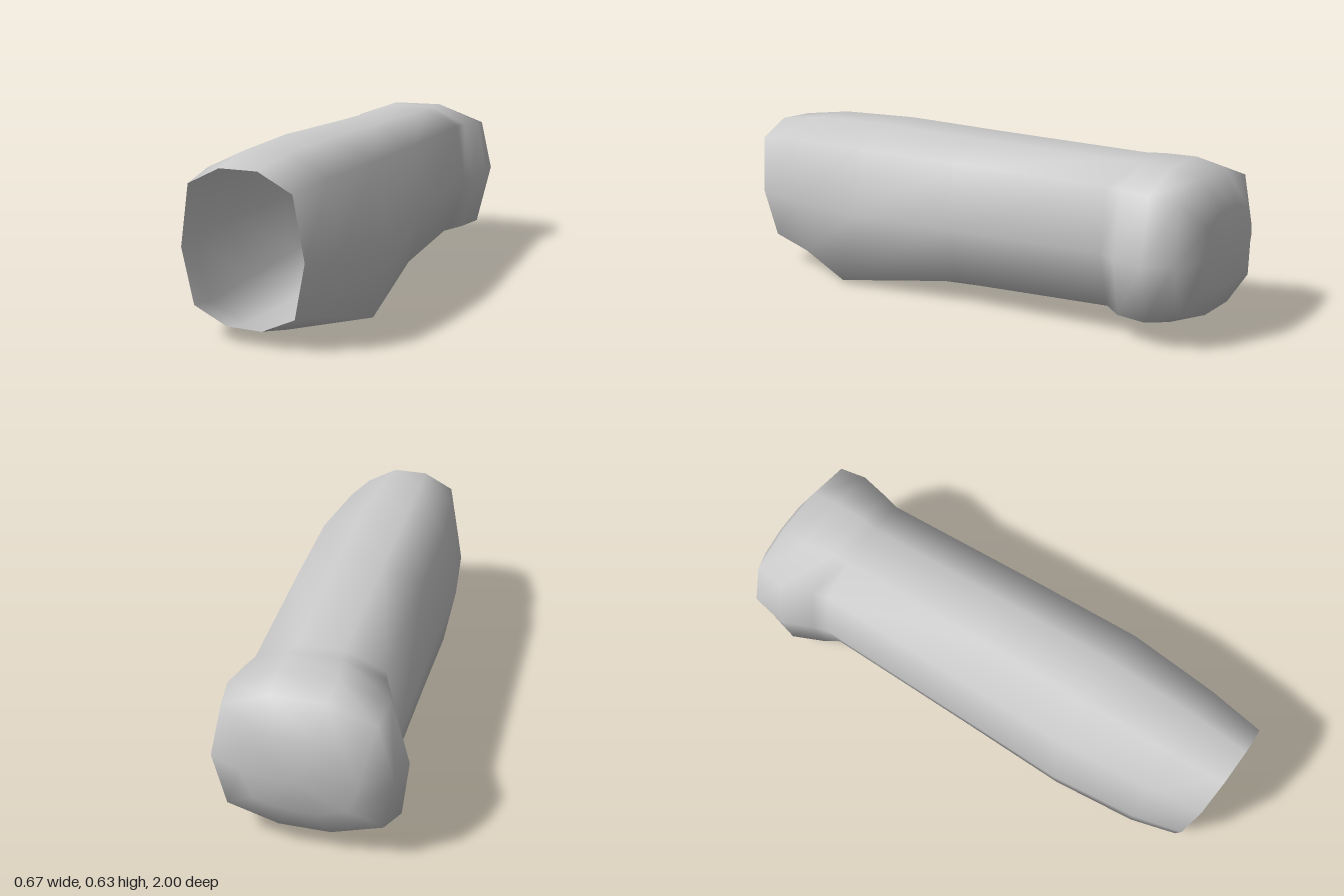
import * as THREE from 'three';

// Ten-sided cross-section, clockwise from the top left, in units of half width and half height
const PROFILE = [
  [-0.28, 1], [0.33, 1], [0.86, 0.76], [1, -0.06], [0.8, -0.79],
  [0.26, -1], [-0.32, -1], [-0.85, -0.78], [-1, -0.04], [-0.81, 0.78],
];
const LOWER_RIGHT = 4, LOWER_LEFT = 7;

// Rings from the open front to the closed back
const RINGS = [
  { z: 0.965, x: [-0.206, 0.252], y: [0.057, 0.592], tilt: [0.07, 0.09] },
  { z: 0.77, x: [-0.25, 0.288], y: [0.013, 0.618], tilt: [0.03, 0.02] },
  { z: 0.43, x: [-0.282, 0.325], y: [0, 0.626], corner: [0.305, 0.012, 0.52] },
  { z: 0, x: [-0.276, 0.312], y: [0.024, 0.615] },
  { z: -0.63, x: [-0.268, 0.285], y: [0.047, 0.602] },
  { z: -0.69, x: [-0.285, 0.302], y: [0.026, 0.607], flare: 1.06 },
  { z: -0.81, x: [-0.335, 0.333], y: [0.032, 0.604], flare: 1.09 },
  { z: -0.935, x: [-0.312, 0.318], y: [0.085, 0.578], tilt: [0.03, 0.05], flare: 1.05 },
  { z: -0.985, x: [-0.2, 0.2], y: [0.18, 0.46], tilt: [0.02, 0] },
];

function ringPoints({ z, x, y, tilt = [0, 0], flare = 1, corner }) {
  const cx = (x[0] + x[1]) / 2, cy = (y[0] + y[1]) / 2;
  const hw = (x[1] - x[0]) / 2, hh = (y[1] - y[0]) / 2;
  return PROFILE.map(([u, v], j) => {
    if (corner && j === LOWER_RIGHT) return corner;
    const f = j === LOWER_RIGHT || j === LOWER_LEFT ? flare : 1;
    const px = cx + u * hw * f, py = cy + v * hh;
    return [px, py, z + tilt[0] * (px - cx) + tilt[1] * (py - cy)];
  });
}

function loftGeometry() {
  const n = PROFILE.length;
  const positions = RINGS.flatMap(ringPoints).flat();
  const index = [];
  for (let i = 0; i < RINGS.length - 1; i++) {
    for (let j = 0; j < n; j++) {
      const k = (j + 1) % n;
      const a = i * n + j, b = i * n + k, c = a + n, d = b + n;
      index.push(a, b, c, b, d, c);
    }
  }
  // Shallow domed end
  const centre = positions.length / 3;
  positions.push(0, 0.31, -1);
  for (let j = 0; j < n; j++) {
    index.push(centre - n + j, centre - n + (j + 1) % n, centre);
  }
  const geometry = new THREE.BufferGeometry();
  geometry.setAttribute('position', new THREE.Float32BufferAttribute(positions, 3));
  geometry.setIndex(index);
  geometry.computeVertexNormals();
  return geometry;
}

export function createModel() {
  const group = new THREE.Group();
  group.name = 'hollowGrip';
  // One open shell: tapered mouth, swollen body, narrow neck and rounded pommel
  const shell = new THREE.Mesh(
    loftGeometry(),
    new THREE.MeshStandardMaterial({ color: 0xcccccc, side: THREE.DoubleSide }),
  );
  shell.name = 'gripShell';
  group.add(shell);
  return group;
}
